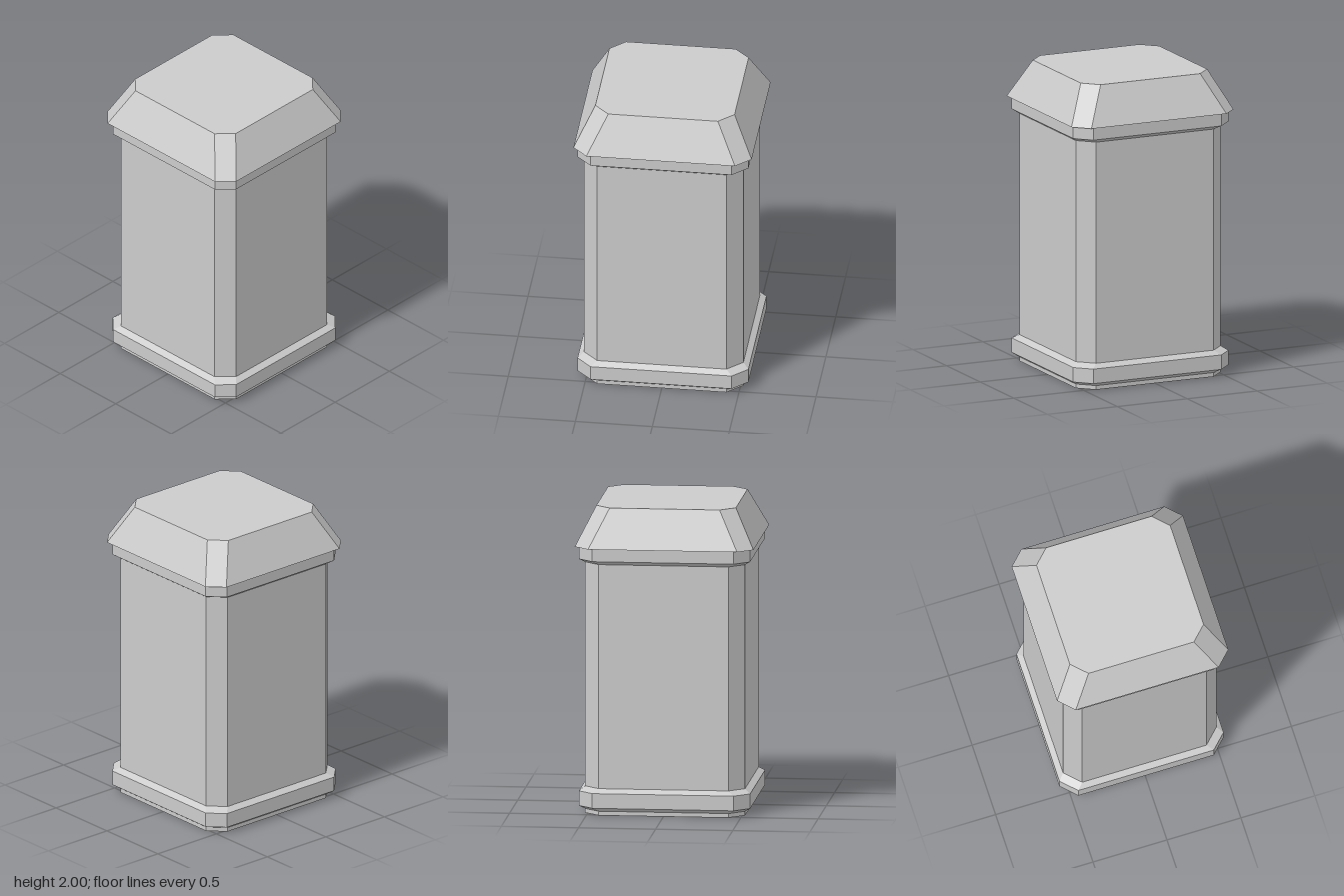
import * as THREE from 'three';

const material = new THREE.MeshStandardMaterial({ color: 0xcccccc, flatShading: true });

// Square ring with chamfered corners: h = half width, c = half length of the flat side
function ring([y, h, c]) {
  return [[c, h], [h, c], [h, -c], [c, -h], [-c, -h], [-h, -c], [-h, c], [-c, h]]
    .map(([x, z]) => [x, y, z]);
}

// Lofts chamfered squares from bottom to top, with optional end caps
function loft(name, sections, capBottom = false, capTop = false) {
  const rings = sections.map(ring);
  const positions = [];
  const tri = (...corners) => corners.forEach((p) => positions.push(...p));
  for (let s = 0; s < rings.length - 1; s++) {
    const low = rings[s], high = rings[s + 1];
    for (let i = 0; i < 8; i++) {
      const j = (i + 1) % 8;
      tri(low[i], low[j], high[j]);
      tri(low[i], high[j], high[i]);
    }
  }
  const first = rings[0], last = rings[rings.length - 1];
  for (let i = 1; i < 7; i++) {
    if (capBottom) tri(first[0], first[i + 1], first[i]);
    if (capTop) tri(last[0], last[i], last[i + 1]);
  }
  const geometry = new THREE.BufferGeometry();
  geometry.setAttribute('position', new THREE.Float32BufferAttribute(positions, 3));
  geometry.computeVertexNormals();
  const mesh = new THREE.Mesh(geometry, material);
  mesh.name = name;
  return mesh;
}

export function createModel() {
  const group = new THREE.Group();
  group.name = 'chamferedPillar';

  const core = [0.518, 0.42];
  const rim = [0.555, 0.458];

  group.add(
    // Short foot under the base moulding
    loft('foot', [[0, ...core], [0.027, ...core]], true),
    // Bevelled moulding around the base
    loft('baseMoulding', [[0.027, ...core], [0.052, ...rim], [0.148, ...rim], [0.175, ...core]]),
    // Main shaft
    loft('shaft', [[0.175, ...core], [1.64, ...core]]),
    // Moulding below the lid
    loft('topMoulding', [[1.64, ...core], [1.665, ...rim], [1.748, ...rim]]),
    // Overhanging sloped lid with a flat top
    loft('lid', [[1.748, 0.579, 0.483], [2, 0.452, 0.356]], true, true),
  );
  return group;
}
